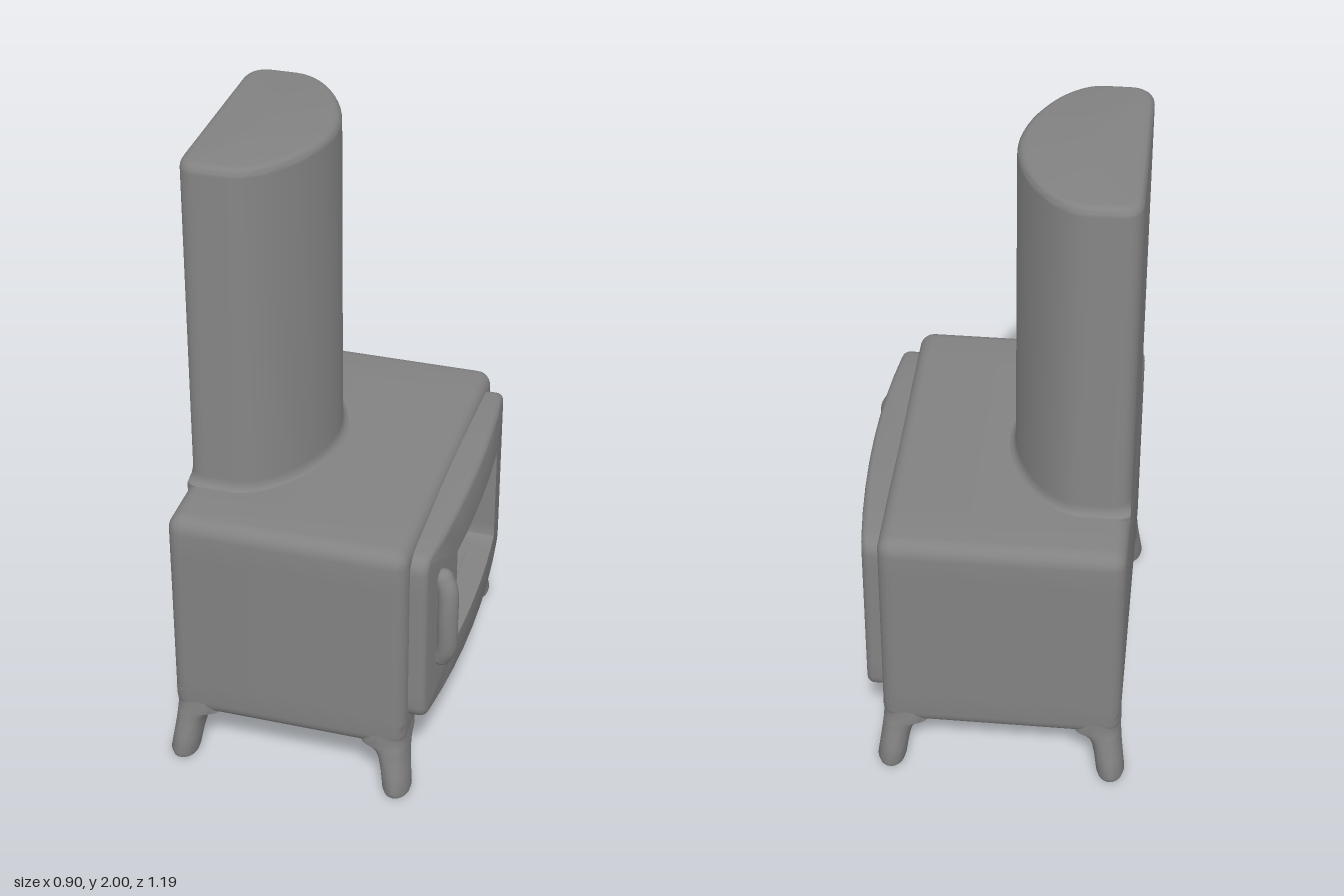
import * as THREE from 'three';
import { toCreasedNormals } from 'three/addons/utils/BufferGeometryUtils.js';

const material = new THREE.MeshStandardMaterial({ color: 0x828282 });

// Skin a list of equal-length rings of [x, y, z] points.
function loft(rings, name) {
  const n = rings[0].length, index = [];
  for (let i = 0; i < rings.length - 1; i++) {
    for (let j = 0; j < n; j++) {
      const a = i * n + j, b = i * n + (j + 1) % n;
      index.push(a, b, b + n, a, b + n, a + n);
    }
  }
  const geometry = new THREE.BufferGeometry();
  geometry.setAttribute('position', new THREE.Float32BufferAttribute(rings.flat(2), 3));
  geometry.setIndex(index);
  const mesh = new THREE.Mesh(toCreasedNormals(geometry, 0.6), material);
  mesh.name = name;
  return mesh;
}

// Rounded rectangle ring in the plane at x, with subdivided edges.
function rectRing(x, [y0, y1, z0, z1], r, inset = 0) {
  const rr = Math.max(r - inset, 0.002), ring = [], steps = 5, cuts = 8;
  const cy = (y0 + y1) / 2, cz = (z0 + z1) / 2;
  const hy = (y1 - y0) / 2 - inset - rr, hz = (z1 - z0) / 2 - inset - rr;
  const corners = [[1, 1], [-1, 1], [-1, -1], [1, -1]];
  corners.forEach(([sy, sz], q) => {
    for (let k = 0; k <= steps; k++) {
      const a = (q + k / steps) * Math.PI / 2;
      ring.push([x, cy + sy * hy + rr * Math.cos(a), cz + sz * hz + rr * Math.sin(a)]);
    }
    const last = ring[ring.length - 1], [ny, nz] = corners[(q + 1) % 4];
    const a = (q + 1) * Math.PI / 2;
    const next = [x, cy + ny * hy + rr * Math.cos(a), cz + nz * hz + rr * Math.sin(a)];
    for (let k = 1; k < cuts; k++) ring.push(last.map((v, i) => v + (next[i] - v) * k / cuts));
  });
  return ring;
}

const collapse = (ring, point) => ring.map(() => point);

// Rings rounding an edge; dir +1 closes towards +x, -1 opens from the back.
function roundedEdge(x, rect, r, edge, dir) {
  const rings = [];
  for (let k = 0; k <= 5; k++) {
    const a = (dir > 0 ? k : 5 - k) / 5 * Math.PI / 2;
    rings.push(rectRing(x - dir * edge * (1 - Math.sin(a)), rect, r, edge * (1 - Math.cos(a))));
  }
  return rings;
}

// Hollow firebox with an opening behind the door
function makeBody() {
  const outer = [0.175, 0.913, -0.56, 0.56], hole = [0.385, 0.737, -0.352, 0.235];
  const inner = [0.235, 0.855, -0.5, 0.5];
  const back = rectRing(-0.37, inner, 0.03);
  return loft([
    collapse(back, [-0.43, 0.545, 0]),
    ...roundedEdge(-0.43, outer, 0.05, 0.045, -1),
    ...roundedEdge(0.32, outer, 0.05, 0.045, 1),
    rectRing(0.32, hole, 0.004), rectRing(0.26, hole, 0.004),
    rectRing(0.26, inner, 0.03), back,
    collapse(back, [-0.37, 0.545, 0]),
  ], 'firebox');
}

// Door frame with softly bowed edges and face
function makeDoor() {
  const outer = [0.268, 0.872, -0.508, 0.508], opening = [0.39, 0.725, -0.345, 0.225];
  const rings = [
    rectRing(0.3, outer, 0.05),
    ...roundedEdge(0.37, outer, 0.05, 0.022, 1),
    rectRing(0.37, opening, 0.004), rectRing(0.3, opening, 0.004),
  ];
  const bowed = rings.map((ring) => ring.map(([x, y, z]) => {
    const b = 1 - (z / 0.51) ** 2, c = 1 - ((y - 0.57) / 0.31) ** 2;
    return [x > 0.33 ? x + 0.035 * b : x, 0.57 + (y - 0.57) * (1 + 0.045 * b), z * (1 + 0.015 * b * c)];
  }));
  return loft(bowed, 'door');
}

// Flue with a D-shaped section, flat at the rear
function makeFlue() {
  const d = new THREE.Shape();
  d.moveTo(-0.05, 0);
  d.bezierCurveTo(-0.05, -0.16, -0.17, -0.35, -0.28, -0.35);
  d.lineTo(-0.36, -0.35);
  d.bezierCurveTo(-0.405, -0.35, -0.43, -0.325, -0.43, -0.27);
  d.lineTo(-0.43, 0.27);
  d.bezierCurveTo(-0.43, 0.325, -0.405, 0.35, -0.36, 0.35);
  d.lineTo(-0.28, 0.35);
  d.bezierCurveTo(-0.17, 0.35, -0.05, 0.16, -0.05, 0);
  const outline = d.getPoints(14).slice(0, -1);
  const section = (y, inset) => outline.map((p) => [
    Math.max(-0.43, -0.24 + (p.x + 0.24) * (1 - inset / 0.19)), y, p.y * (1 - inset / 0.35)]);
  const rings = [section(0.87, -0.02), section(0.912, -0.02), section(0.918, -0.01),
    section(0.928, -0.003), section(0.945, 0)];
  for (let k = 0; k <= 5; k++) {
    const a = k / 5 * Math.PI / 2;
    rings.push(section(1.972 + 0.028 * Math.sin(a), 0.028 * (1 - Math.cos(a))));
  }
  rings.push(collapse(outline, [-0.24, 2, 0]));
  return loft(rings, 'flue');
}

// Splayed leg; rows are y, inner x, outer x, inner z, outer z from the body
// centre, and the roundness of the section (1 is an ellipse, less is squarer)
function makeLeg(sx, sz) {
  const rows = [
    [0, 0.35, 0.35, 0.53, 0.53, 1], [0.001, 0.322, 0.378, 0.49, 0.57, 1],
    [0.007, 0.31, 0.391, 0.475, 0.588, 1], [0.022, 0.305, 0.395, 0.467, 0.593, 1],
    [0.08, 0.296, 0.387, 0.45, 0.581, 0.95], [0.125, 0.286, 0.381, 0.433, 0.57, 0.85],
    [0.155, 0.272, 0.378, 0.413, 0.565, 0.75], [0.172, 0.25, 0.377, 0.388, 0.563, 0.65],
    [0.18, 0.225, 0.376, 0.365, 0.562, 0.6], [0.225, 0.225, 0.375, 0.365, 0.56, 0.6],
    [0.27, 0.325, 0.372, 0.51, 0.557, 0.75],
  ];
  const power = (v, p) => Math.sign(v) * Math.abs(v) ** p;
  const rings = rows.map(([y, xi, xo, zi, zo, p]) => Array.from({ length: 32 }, (_, j) => {
    const a = j / 32 * Math.PI * 2;
    return [-0.055 + sx * (xi + xo) / 2 + (xo - xi) / 2 * power(Math.sin(a), p), y,
      sz * (zi + zo) / 2 + (zo - zi) / 2 * power(Math.cos(a), p)];
  }));
  return loft(rings, 'leg');
}

// Thick, slightly bowed grip with rounded ends
function makeHandle() {
  const group = new THREE.Group();
  group.name = 'doorHandle';
  const path = new THREE.CatmullRomCurve3([
    [0.393, 0.443, 0.382], [0.409, 0.48, 0.391], [0.413, 0.59, 0.398],
    [0.409, 0.70, 0.391], [0.393, 0.737, 0.382],
  ].map((p) => new THREE.Vector3(...p)));
  const grip = new THREE.Mesh(new THREE.TubeGeometry(path, 40, 0.032, 16), material);
  grip.name = 'grip';
  group.add(grip);
  for (const t of [0, 1]) {
    const end = new THREE.Mesh(new THREE.SphereGeometry(0.032, 16, 12), material);
    end.name = 'gripEnd';
    end.position.copy(path.getPoint(t));
    group.add(end);
  }
  return group;
}

export function createModel() {
  const stove = new THREE.Group();
  stove.name = 'stove';
  stove.add(makeBody(), makeDoor(), makeFlue(), makeHandle());
  for (const sx of [-1, 1]) for (const sz of [-1, 1]) stove.add(makeLeg(sx, sz));
  return stove;
}
